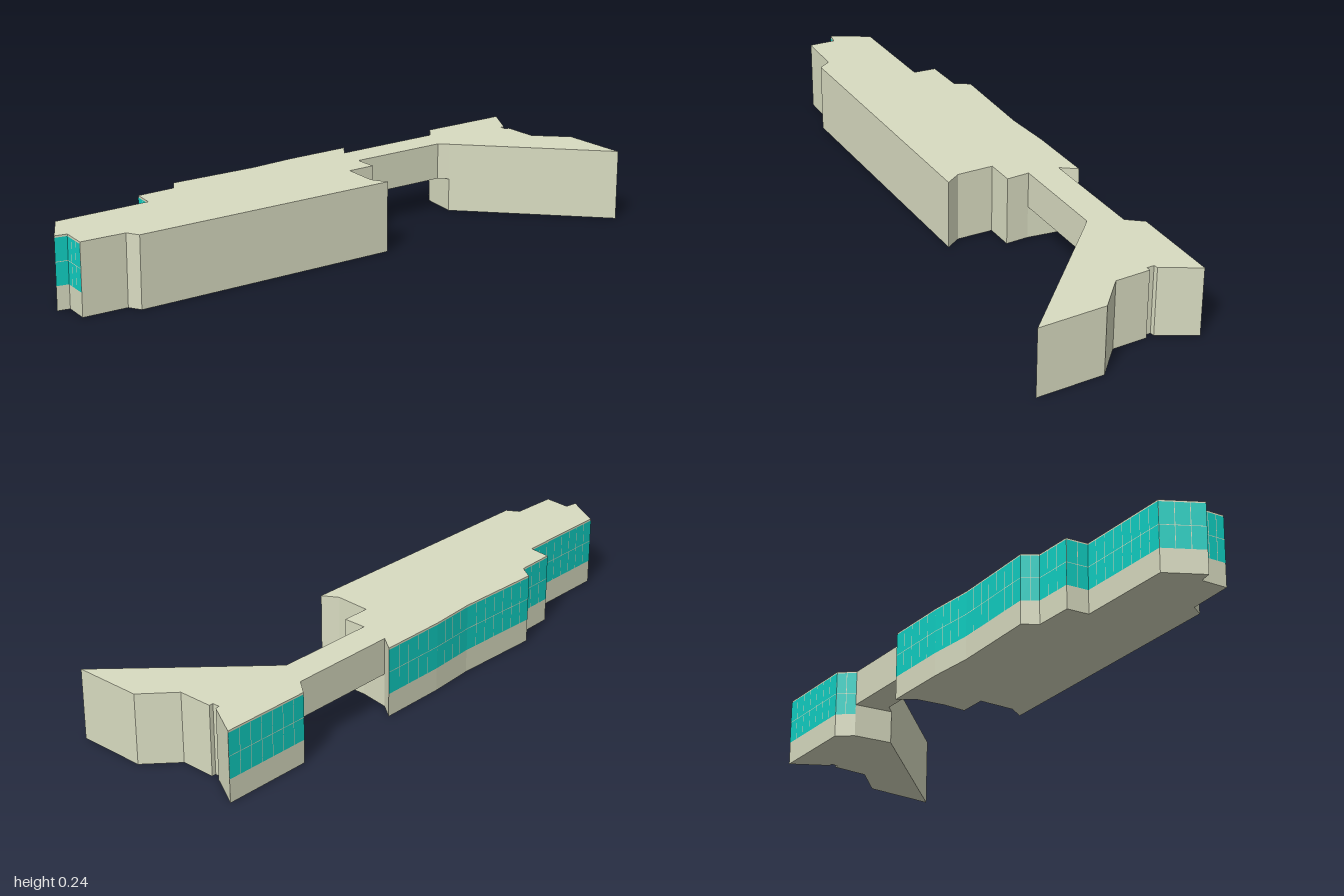
import * as THREE from 'three';

const wallMat = new THREE.MeshStandardMaterial({ color: 0xd9dcc1, flatShading: true });
const glassMat = new THREE.MeshStandardMaterial({ color: 0x10d0c3 });
const HEIGHT = 0.24;

// Footprints as [x, z] corners
const mainPlan = [
  [-0.30, -0.28], [-0.30, -0.05], [-0.29, 0.11], [-0.30, 0.415], [-0.252, 0.447],
  [-0.25, 0.58], [-0.175, 0.59], [-0.175, 0.925], [-0.053, 0.998], [-0.045, 0.957],
  [0.043, 0.965], [0.051, 0.81], [0.092, 0.787], [0.107, -0.15], [0.055, -0.12],
  [-0.067, -0.127], [-0.067, -0.223], [-0.145, -0.223], [-0.247, -0.24],
];
const wingPlan = [
  [-0.30, -0.66], [-0.247, -0.617], [-0.115, -0.597], [0.30, -1], [0.065, -1],
  [-0.03, -0.90], [-0.15, -0.90], [-0.15, -0.885], [-0.175, -0.885], [-0.177, -0.90], [-0.298, -0.97],
];
const bridgePlan = [
  [-0.247, -0.24], [-0.247, -0.617], [-0.115, -0.597], [-0.143, -0.568], [-0.145, -0.223],
];

// Upright block over a footprint, between two heights
function block(name, plan, bottom, top) {
  const shape = new THREE.Shape(plan.map(([x, z]) => new THREE.Vector2(x, -z)));
  const geo = new THREE.ExtrudeGeometry(shape, { depth: top - bottom, bevelEnabled: false });
  geo.rotateX(-Math.PI / 2).translate(0, bottom, 0);
  const mesh = new THREE.Mesh(geo, wallMat);
  mesh.name = name;
  return mesh;
}

// Glazed band on the wall from a to b: one pane strip plus thin mullions
function glazing(a, b, panes) {
  const dx = b[0] - a[0], dz = b[1] - a[1];
  const len = Math.hypot(dx, dz);
  const low = 0.08, high = 0.234, line = 0.002;
  const count = panes || Math.max(1, Math.round(len / 0.044));
  const group = new THREE.Group();
  group.name = 'windowBand';
  group.position.set((a[0] + b[0]) / 2, (low + high) / 2, (a[1] + b[1]) / 2);
  group.rotation.y = Math.atan2(-dz, dx);

  const add = (name, w, h, x, z, mat) => {
    const mesh = new THREE.Mesh(new THREE.PlaneGeometry(w, h), mat);
    mesh.name = name;
    mesh.position.set(x, 0, z);
    group.add(mesh);
  };
  add('glass', len, high - low, 0, 0.001, glassMat);
  add('transom', len, line, 0, 0.0018, wallMat);
  for (let i = 1; i < count; i++) {
    add('mullion', line, high - low, -len / 2 + (len * i) / count, 0.0018, wallMat);
  }
  return group;
}

export function createModel() {
  const model = new THREE.Group();
  model.name = 'building';
  model.add(
    block('mainBlock', mainPlan, 0, HEIGHT),
    block('rearWing', wingPlan, 0, HEIGHT),
    block('bridge', bridgePlan, 0.115, HEIGHT),
  );

  // Windows run along the right side and round the front
  for (let i = 0; i < 10; i++) {
    model.add(glazing(mainPlan[i], mainPlan[i + 1], i === 9 ? 3 : i === 3 ? 2 : 0));
  }
  // Windows of the rear wing
  model.add(glazing(wingPlan[10], wingPlan[0], 7), glazing(wingPlan[0], wingPlan[1], 2));
  return model;
}
